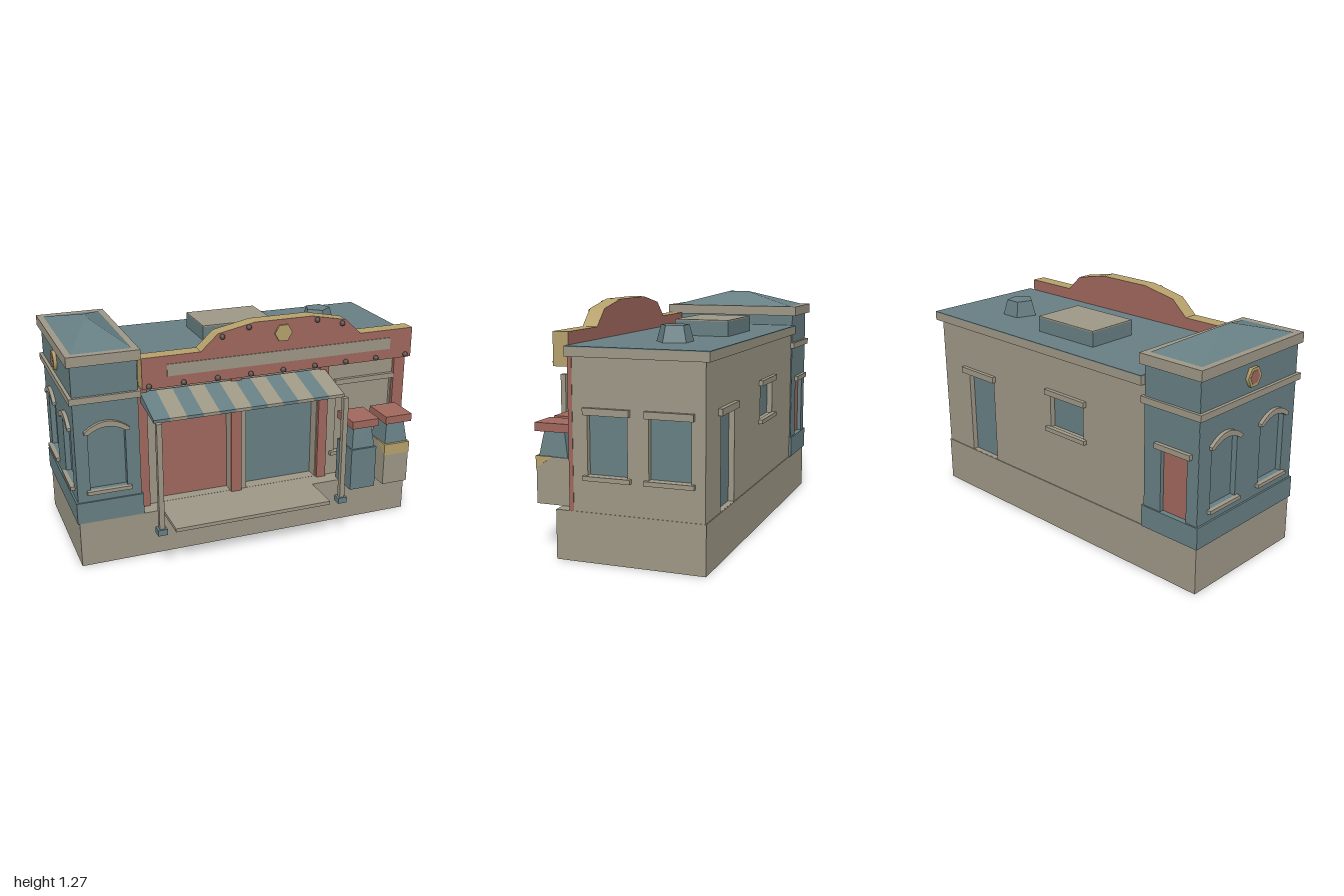
import * as THREE from 'three';

const mat = (name, color) => Object.assign(new THREE.MeshStandardMaterial({ color }), { name });

export function createModel() {
  const stone = mat('stone', 0x9e9786);
  const teal = mat('teal', 0x677f83);
  const red = mat('red', 0xa0675d);
  const yellow = mat('yellow', 0xb5a16b);
  const bulb = mat('bulb', 0x5c4e4a);
  const root = new THREE.Group();

  const add = (parent, name, geo, m) => {
    const mesh = new THREE.Mesh(geo, m);
    mesh.name = name;
    parent.add(mesh);
    return mesh;
  };
  // Box given by its limits on each axis
  const box = (name, m, [x0, x1], [y0, y1], [z0, z1], parent = root) =>
    add(parent, name, new THREE.BoxGeometry(x1 - x0, y1 - y0, z1 - z0)
      .translate((x0 + x1) / 2, (y0 + y1) / 2, (z0 + z1) / 2), m);
  // Profile in (z, y) swept along x
  const prism = (name, m, pts, x0, x1, parent = root) => {
    const shape = new THREE.Shape(pts.map(p => new THREE.Vector2(...p)));
    const geo = new THREE.ExtrudeGeometry(shape, { depth: x1 - x0, bevelEnabled: false });
    return add(parent, name, geo.rotateY(-Math.PI / 2).translate(x1, 0, 0), m);
  };
  // Group whose local +z points out of a wall
  const face = (name, angle, x, z) => {
    const g = new THREE.Group();
    g.name = name;
    g.rotation.y = angle;
    g.position.set(x, 0, z);
    root.add(g);
    return g;
  };
  // Wall with openings [u0, u1, y0, y1, arch rise]; outer face at local z = 0
  const wall = (parent, m, u0, u1, y0, y1, holes, depth = 0.03) => {
    const s = new THREE.Shape();
    s.moveTo(u0, y0).lineTo(u1, y0).lineTo(u1, y1).lineTo(u0, y1).closePath();
    for (const [a, b, c, d, rise = 0] of holes) {
      const h = new THREE.Path();
      h.moveTo(a, c).lineTo(a, d);
      if (rise) h.quadraticCurveTo((a + b) / 2, d + 2 * rise, b, d);
      else h.lineTo(b, d);
      h.lineTo(b, c).closePath();
      s.holes.push(h);
    }
    const geo = new THREE.ExtrudeGeometry(s, { depth, bevelEnabled: false, curveSegments: 8 });
    return add(parent, 'wall', geo.translate(0, 0, -depth), m);
  };
  const ledge = (parent, name, u0, u1, y0, y1) =>
    box(name, stone, [u0, u1], [y0, y1], [-0.005, 0.022], parent);
  const hexagon = (parent, name, m, x, y, z, r, d) =>
    add(parent, name, new THREE.CylinderGeometry(r, r, d, 6).rotateY(Math.PI / 6)
      .rotateX(Math.PI / 2).translate(x, y, z), m);
  // Curved window head and sill
  const archTrim = (parent, u) => {
    const s = new THREE.Shape();
    s.moveTo(-0.12, 0.76).lineTo(-0.12, 0.775).quadraticCurveTo(0, 0.875, 0.12, 0.775)
      .lineTo(0.12, 0.76).lineTo(0.1, 0.76).quadraticCurveTo(0, 0.83, -0.1, 0.76).closePath();
    const geo = new THREE.ExtrudeGeometry(s, { depth: 0.025, bevelEnabled: false, curveSegments: 8 });
    add(parent, 'windowArch', geo.translate(u, 0, -0.005), stone);
    ledge(parent, 'windowSill', u - 0.12, u + 0.12, 0.42, 0.44);
  };

  // Plinth, open underneath
  for (const [z0, z1] of [[-0.5, -0.49], [0.275, 0.285]])
    box('plinthWall', stone, [-0.98, 0.975], [0, 0.255], [z0, z1]);
  for (const [x0, x1] of [[-0.98, -0.97], [0.965, 0.975]])
    box('plinthWall', stone, [x0, x1], [0, 0.255], [-0.49, 0.275]);
  box('floor', stone, [-0.97, 0.965], [0.24, 0.255], [-0.49, 0.275]);
  box('porchStep', stone, [-0.52, 0.375], [0.235, 0.255], [0.28, 0.515]);

  // Main hall: inner core shows through the openings as glass
  box('hallGlass', teal, [-0.64, 0.943], [0.255, 1.02], [-0.465, 0.12]);
  const right = face('rightWall', Math.PI / 2, 0.972, 0);
  const sideWindows = [[-0.11, 0.1], [0.21, 0.425]];
  wall(right, stone, -0.19, 0.495, 0.25, 1.03, sideWindows.map(([a, b]) => [a, b, 0.44, 0.74]));
  for (const [a, b] of sideWindows) {
    ledge(right, 'windowHeader', a - 0.016, b + 0.016, 0.74, 0.775);
    ledge(right, 'windowSill', a - 0.02, b + 0.02, 0.417, 0.44);
  }
  const back = face('backWall', Math.PI, 0, -0.495);
  wall(back, stone, -0.97, 0.64, 0.25, 1.03, [[-0.747, -0.527, 0.256, 0.74], [-0.05, 0.2, 0.6, 0.79]]);
  ledge(back, 'doorHeader', -0.79, -0.51, 0.74, 0.775);
  ledge(back, 'windowHeader', -0.075, 0.225, 0.79, 0.82);
  ledge(back, 'windowSill', -0.075, 0.225, 0.58, 0.603);

  // Shop front
  const front = face('shopFront', 0, 0, 0.19);
  wall(front, stone, -0.64, 0.972, 0.25, 1.03,
    [[-0.49, -0.095, 0.256, 0.9], [0, 0.43, 0.256, 0.9], [0.55, 0.9, 0.4, 0.815]], 0.07);
  box('frontDoor', red, [-0.49, -0.095], [0.255, 0.76], [-0.07, -0.062], front);
  box('shutter', stone, [0.55, 0.9], [0.4, 0.815], [-0.07, -0.02], front);
  ledge(front, 'shutterHeader', 0.535, 0.904, 0.815, 0.845);
  ledge(front, 'shutterSill', 0.52, 0.92, 0.38, 0.402);
  for (const [a, b] of [[-0.63, -0.57], [-0.095, -0.035], [0.435, 0.49], [0.905, 0.974]])
    box('pillar', red, [a, b], [0.255, 1.02], [-0.002, 0.021], front);

  // Flat roof with its cornice and vents
  box('cornice', stone, [-0.63, 1], [1.02, 1.066], [-0.523, 0.214]);
  box('flatRoof', teal, [-0.63, 1], [1.066, 1.071], [-0.523, 0.214]);
  box('roofHatch', teal, [-0.155, 0.26], [1.07, 1.15], [-0.372, -0.075]);
  box('hatchLid', stone, [-0.155, 0.26], [1.15, 1.157], [-0.372, -0.075]);
  const vent = add(root, 'roofVent', new THREE.CylinderGeometry(0.075, 0.1, 0.086, 5).toNonIndexed(), teal);
  vent.geometry.computeVertexNormals();
  vent.position.set(0.605, 1.113, -0.205);

  // Stepped parapet: red faces, yellow edge
  const outline = [[-0.615, 0.965], [0.957, 0.965], [0.957, 1.135], [0.63, 1.135], [0.6, 1.165], [0.54, 1.222],
    [0.335, 1.263], [0.005, 1.263], [-0.2, 1.222], [-0.295, 1.135], [-0.615, 1.135]];
  const parapet = new THREE.Shape(outline.map(p => new THREE.Vector2(...p)));
  add(root, 'parapet', new THREE.ExtrudeGeometry(parapet, { depth: 0.083, bevelEnabled: false })
    .translate(0, 0, 0.211), [red, yellow]);
  box('signStrip', stone, [-0.48, 0.82], [1.025, 1.09], [0.293, 0.299]);
  hexagon(root, 'badge', yellow, 0.167, 1.19, 0.297, 0.05, 0.016);
  const bulbs = [[-0.178, 1.205], [-0.03, 1.24], [0.364, 1.24], [0.515, 1.205]];
  for (let i = 0; i < 9; i++) bulbs.push([-0.58 + i * 0.1875, 0.982]);
  for (const [x, y] of bulbs)
    add(root, 'lightBulb', new THREE.SphereGeometry(0.015, 10, 8).translate(x, y, 0.3), bulb);

  // Striped awning on two posts
  const slope = [[0.2, 0.868], [0.455, 0.84], [0.455, 0.857], [0.2, 0.922]];
  const stripe = 1.066 / 12;
  for (let i = 0; i < 12; i++)
    prism('awningStripe', i % 2 ? stone : teal, slope, -0.605 + i * stripe, -0.605 + (i + 1) * stripe);
  prism('awningEnd', teal, slope, 0.461, 0.465);
  for (const x of [-0.594, 0.447]) {
    box('postFoot', teal, [x - 0.026, x + 0.026], [0.235, 0.268], [0.473, 0.525]);
    box('post', stone, [x - 0.014, x + 0.014], [0.268, 0.857], [0.486, 0.515]);
  }

  // Fuel pumps
  for (const [x, m] of [[0.62, teal], [0.828, stone]]) {
    const pump = new THREE.Group();
    pump.name = 'fuelPump';
    pump.position.set(x, 0, 0.336);
    root.add(pump);
    box('pumpBody', m, [-0.077, 0.077], [0.255, 0.5], [-0.092, 0.092], pump);
    const neck = box('pumpNeck', teal, [-0.07, 0.07], [0.5, 0.63], [-0.08, 0.08], pump).geometry;
    const p = neck.attributes.position;
    for (let i = 0; i < p.count; i++)
      if (p.getY(i) > 0.6) p.setXYZ(i, p.getX(i) * 0.76, p.getY(i), p.getZ(i) * 0.7);
    neck.computeVertexNormals();
    box('pumpCap', red, [-0.081, 0.081], [0.628, 0.672], [-0.096, 0.096], pump);
    if (m === stone)
      prism('pumpStripe', yellow, [[0, 0.502], [0.095, 0.437], [0.095, 0.502]], -0.079, 0.079, pump);
  }

  // Corner tower
  box('towerCore', teal, [-0.95, -0.637], [0.255, 1.13], [-0.47, 0.25]);
  const towerFront = face('towerFront', 0, 0, 0.28);
  wall(towerFront, teal, -0.979, -0.637, 0.25, 1.14, [[-0.91, -0.71, 0.44, 0.76, 0.035]]);
  archTrim(towerFront, -0.81);
  const towerSide = face('towerSide', -Math.PI / 2, -0.98, 0);
  wall(towerSide, teal, -0.5, 0.28, 0.25, 1.14,
    [-0.305, 0.09].map(u => [u - 0.1, u + 0.1, 0.44, 0.76, 0.035]));
  for (const u of [-0.305, 0.09]) archTrim(towerSide, u);
  hexagon(towerSide, 'medallionRim', yellow, -0.107, 1.047, 0.005, 0.055, 0.026);
  hexagon(towerSide, 'medallion', red, -0.107, 1.047, 0.016, 0.038, 0.006);
  const towerBack = face('towerBack', Math.PI, 0, -0.501);
  wall(towerBack, teal, 0.637, 0.979, 0.25, 1.14, [[0.745, 0.91, 0.37, 0.72]]);
  box('towerDoor', red, [0.745, 0.91], [0.37, 0.72], [-0.031, -0.023], towerBack);
  ledge(towerBack, 'towerDoorHeader', 0.715, 0.94, 0.72, 0.748);
  box('towerInnerWall', teal, [-0.66, -0.635], [0.255, 1.13], [-0.5, 0.279]);
  box('towerSkirt', teal, [-0.99, -0.627], [0.256, 0.375], [-0.509, 0.289]);
  box('towerBand', stone, [-0.998, -0.622], [0.93, 0.965], [-0.517, 0.297]);
  box('towerCornice', stone, [-1, -0.617], [1.13, 1.185], [-0.523, 0.297]);

  // Hipped tower roof
  const hip = box('towerRoof', teal, [-0.975, -0.642], [1.18, 1.27], [-0.5, 0.273]).geometry;
  const hp = hip.attributes.position;
  for (let i = 0; i < hp.count; i++)
    if (hp.getY(i) > 1.2) hp.setXYZ(i, hp.getX(i) < -0.81 ? -0.82 : -0.798, 1.268, hp.getZ(i) < -0.11 ? -0.165 : -0.05);
  hip.computeVertexNormals();

  return root;
}
